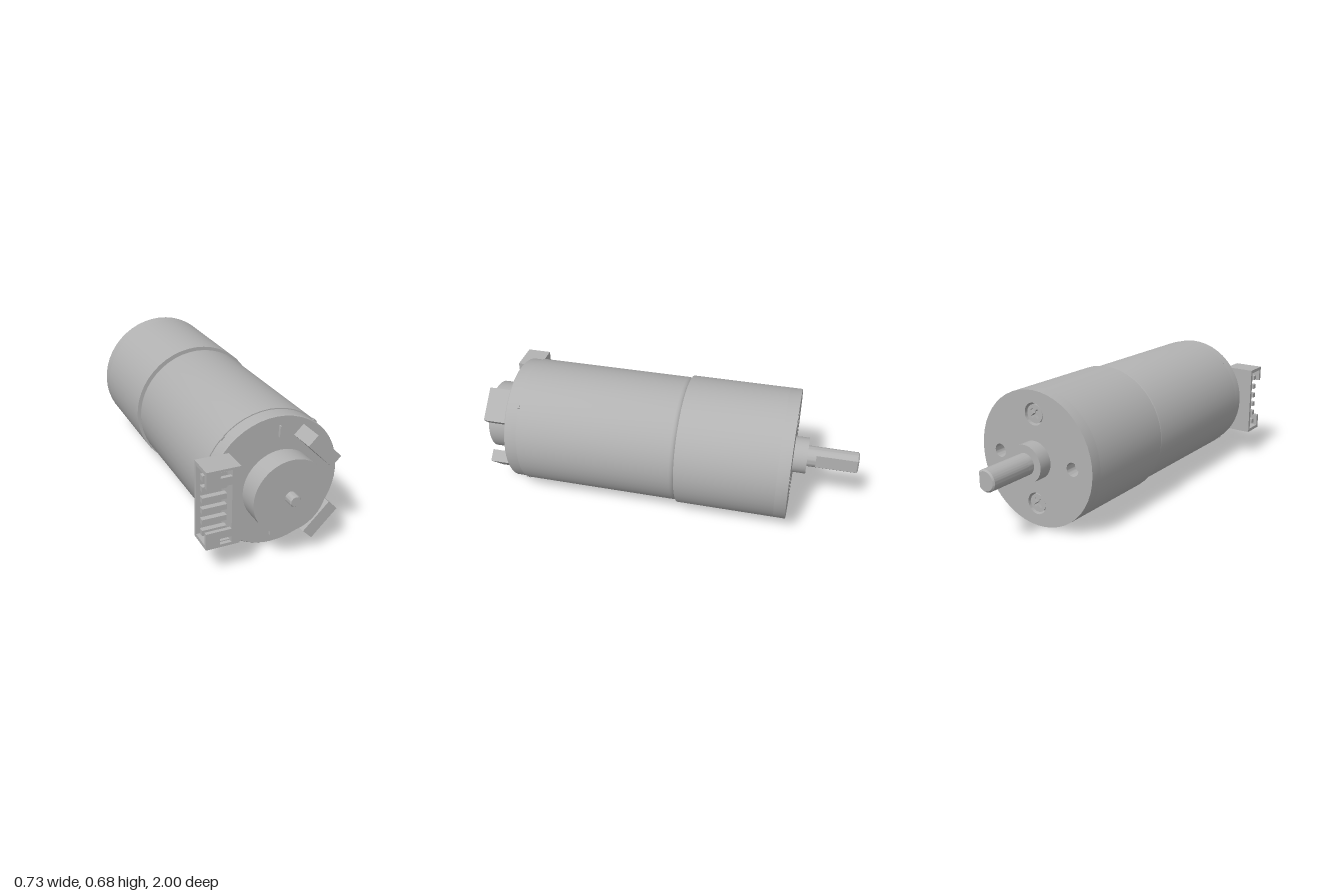
import * as THREE from 'three';
import { toCreasedNormals } from 'three/addons/utils/BufferGeometryUtils.js';

const CX = 0.025, CY = 0.34; // motor axis, along z

export function createModel() {
  const model = new THREE.Group();
  model.name = 'gearMotor';
  const metal = new THREE.MeshStandardMaterial({ color: 0xb2b2b2 });
  metal.name = 'grey metal';

  function add(name, geometry, parent = model) {
    const mesh = new THREE.Mesh(toCreasedNormals(geometry, 0.4), metal);
    mesh.name = name;
    parent.add(mesh);
    return mesh;
  }
  // Solid turned about z from [radius, z] points
  function turned(name, points, parent, segments = 48) {
    const g = new THREE.LatheGeometry(points.map(p => new THREE.Vector2(...p)), segments);
    return add(name, g.rotateX(Math.PI / 2), parent);
  }
  const disc = (name, r, z0, z1, parent) =>
    turned(name, [[0, z0], [r, z0], [r, z1], [0, z1]], parent);
  // Box given by its minimum and maximum corners
  function box(name, a, b, parent) {
    const s = b.map((v, i) => v - a[i]);
    const mesh = add(name, new THREE.BoxGeometry(...s), parent);
    mesh.position.set(...a.map((v, i) => v + s[i] / 2));
    return mesh;
  }
  const circle = (Type, x, y, r) => new Type().absarc(x, y, r, 0, Math.PI * 2, false);
  function extrude(shape, z, depth, options = {}) {
    return new THREE.ExtrudeGeometry(shape, { depth, bevelEnabled: false, curveSegments: 24, ...options })
      .translate(0, 0, z);
  }
  const rect = (Type, x0, y0, x1, y1) => new Type([
    [x0, y0], [x1, y0], [x1, y1], [x0, y1]].map(p => new THREE.Vector2(...p)));

  // Everything centred on the motor axis
  const axis = new THREE.Group();
  axis.name = 'motorAssembly';
  axis.position.set(CX, CY, 0);
  model.add(axis);

  // Gearbox with its drilled end plate
  disc('gearbox', 0.34, -0.61, -0.10, axis);
  const plate = circle(THREE.Shape, 0, 0, 0.34);
  for (const s of [-1, 1]) {
    plate.holes.push(circle(THREE.Path, 0.225 * s, 0, 0.034));
    plate.holes.push(circle(THREE.Path, 0, 0.225 * s, 0.055));
  }
  add('gearboxEndPlate', extrude(plate, -0.67, 0.06), axis);

  // Cross-head screws sunk in the end plate
  for (const s of [-1, 1]) {
    const screw = new THREE.Group();
    screw.name = 'screw';
    screw.position.set(0, 0.225 * s, 0);
    axis.add(screw);
    const head = circle(THREE.Shape, 0, 0, 0.046);
    const w = 0.007, l = 0.028;
    head.holes.push(new THREE.Path([
      [w, w], [l, w], [l, -w], [w, -w], [w, -l], [-w, -l],
      [-w, -w], [-l, -w], [-l, w], [-w, w], [-w, l], [w, l],
    ].map(p => new THREE.Vector2(...p))));
    add('screwHead', extrude(head, -0.662, 0.03), screw).rotation.z = Math.PI / 4;
    disc('screwBase', 0.046, -0.638, -0.605, screw);
  }

  // Output boss and D-shaped shaft
  disc('outputBoss', 0.094, -0.74, -0.66, axis);
  disc('outputShaftCollar', 0.054, -0.785, -0.72, axis);
  const flat = 0.04, angle = Math.acos(flat / 0.054);
  const dShape = new THREE.Shape();
  dShape.absarc(0, 0, 0.054, angle, Math.PI * 2 - angle, false);
  dShape.closePath();
  add('outputShaft', extrude(dShape, -0.993, 0.22, {
    bevelEnabled: true, bevelThickness: 0.007, bevelSize: 0.007, bevelOffset: -0.007, bevelSegments: 1,
  }), axis);

  // Motor can with a rounded shoulder, and its end cap
  turned('motorCan', [[0, -0.105], [0.312, -0.105], [0.314, -0.098], [0.322, -0.092],
    [0.327, -0.084], [0.329, -0.074], [0.329, 0.737], [0, 0.737]], axis);
  turned('endCap', [[0, 0.73], [0.324, 0.73], [0.324, 0.80], [0.32, 0.805], [0, 0.805]], axis);

  // Crimps round the edge of the can
  for (let i = 0; i < 4; i++) {
    const a = Math.PI / 4 + i * Math.PI / 2;
    const crimp = add('crimp', new THREE.BoxGeometry(0.012, 0.02, 0.016), axis);
    crimp.position.set(0.326 * Math.cos(a), 0.326 * Math.sin(a), 0.738);
    crimp.rotation.z = a;
  }

  // Encoder disc on the rear shaft
  disc('encoderDisc', 0.181, 0.85, 0.955, axis);
  turned('rearShaft', [[0, 0.80], [0.027, 0.80], [0.027, 0.994], [0.022, 1], [0, 1]], axis);

  // Solder tabs and sensor blocks
  for (const s of [-1, 1]) {
    const tab = add('solderTab', new THREE.BoxGeometry(0.007, 0.052, 0.03), axis);
    tab.position.set(0.014 * s, 0.25 * s, 0.805);
    tab.rotation.z = -0.04;
    const sensor = add('sensorBlock', new THREE.BoxGeometry(0.177, 0.064, 0.13), axis);
    sensor.position.set(0.175, 0.175 * s, 0.866);
    sensor.rotation.z = -s * Math.PI / 4;
  }

  // Cable socket, open towards -x
  const socket = new THREE.Group();
  socket.name = 'cableSocket';
  model.add(socket);
  const x0 = -0.365, x1 = -0.205, xf = -0.245, y0 = 0.15, y1 = 0.53, z0 = 0.803, z1 = 0.93, t = 0.018;
  box('socketFloor', [xf, y0, z0], [x1, y1, z1 - t], socket);
  box('socketBackWall', [x0, y0, z0], [xf, y1, z0 + t], socket);
  box('socketLowerWall', [x0, y0, z0 + t], [xf, y0 + t, z1 - t], socket);
  box('socketUpperWall', [x0, y1 - t, z0 + t], [xf, y1, z1 - t], socket);
  const wall = new THREE.Shape([
    [x0, y0], [x1, y0], [x1, y1], [x0, y1], [x0, 0.45], [xf, 0.45], [xf, 0.231], [x0, 0.231],
  ].map(p => new THREE.Vector2(...p)));
  wall.holes.push(rect(THREE.Path, -0.30, 0.49, xf, 0.52), rect(THREE.Path, -0.30, 0.164, xf, 0.193));
  add('socketFrontWall', extrude(wall, z1 - t, t), socket);
  for (let i = 0; i < 6; i++) {
    const y = CY + (i - 2.5) * 0.054;
    box('socketPin', [x0 + 0.004, y - 0.013, 0.853], [xf + 0.005, y + 0.013, 0.879], socket);
  }
  return model;
}
